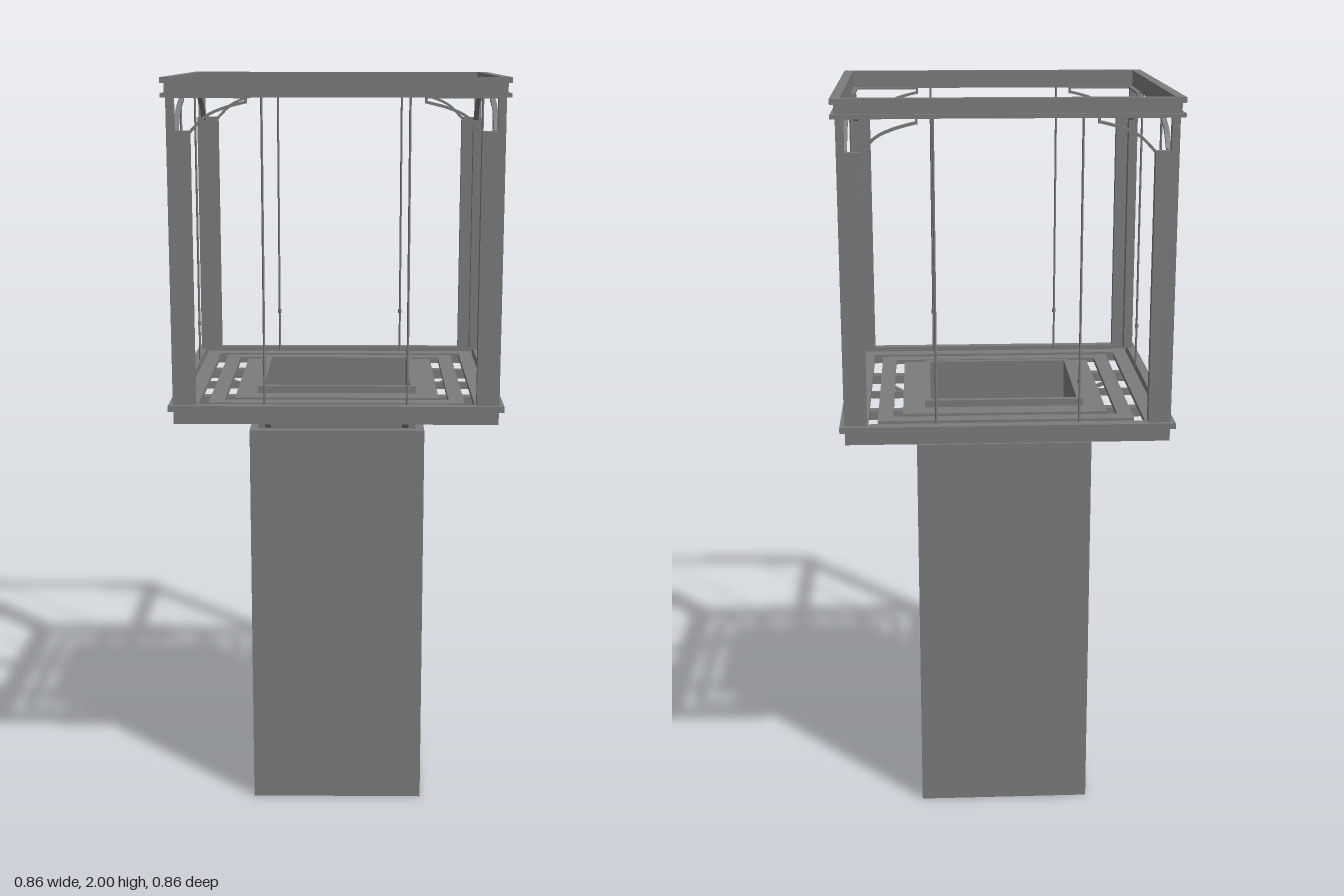
import * as THREE from 'three';

const metal = new THREE.MeshStandardMaterial({ color: 0x7c7c7c });
metal.name = 'grey metal';

function add(parent, name, geometry) {
  const mesh = new THREE.Mesh(geometry, metal);
  mesh.name = name;
  parent.add(mesh);
  return mesh;
}

// Box given by its minimum and maximum on each axis
function box(parent, name, x0, x1, y0, y1, z0, z1) {
  const mesh = add(parent, name, new THREE.BoxGeometry(x1 - x0, y1 - y0, z1 - z0));
  mesh.position.set((x0 + x1) / 2, (y0 + y1) / 2, (z0 + z1) / 2);
  return mesh;
}

function square(path, h) {
  path.moveTo(-h, -h);
  path.lineTo(h, -h);
  path.lineTo(h, h);
  path.lineTo(-h, h);
  path.closePath();
  return path;
}

// Square ring lying flat, from half-width inner to outer
function ring(parent, name, inner, outer, y0, y1) {
  const shape = square(new THREE.Shape(), outer);
  shape.holes.push(square(new THREE.Path(), inner));
  const geo = new THREE.ExtrudeGeometry(shape, { depth: y1 - y0, bevelEnabled: false });
  geo.rotateX(-Math.PI / 2);
  geo.translate(0, y0, 0);
  return add(parent, name, geo);
}

// Flat bar bent along a smooth curve in the xy plane
function bentBar(points, thick, depth) {
  const curve = new THREE.SplineCurve(points.map(([x, y]) => new THREE.Vector2(x, y)));
  const upper = [], lower = [];
  for (let i = 0; i <= 10; i++) {
    const p = curve.getPoint(i / 10), t = curve.getTangent(i / 10);
    const n = new THREE.Vector2(-t.y, t.x).multiplyScalar(thick / 2);
    upper.push(p.clone().add(n));
    lower.unshift(p.clone().sub(n));
  }
  return new THREE.ExtrudeGeometry(new THREE.Shape([...upper, ...lower]), { depth, bevelEnabled: false });
}

export function createModel() {
  const model = new THREE.Group();
  model.name = 'lookoutTower';

  // Hollow square shaft and its neck
  ring(model, 'shaft', 0.2, 0.235, 0, 1.07);
  ring(model, 'neck', 0.196, 0.212, 1.07, 1.187);

  // Open platform of nested rings
  ring(model, 'innerWalkway', 0.205, 0.27, 1.155, 1.168);
  ring(model, 'middleWalkway', 0.295, 0.335, 1.155, 1.168);
  ring(model, 'outerWalkway', 0.36, 0.4, 1.155, 1.168);

  // Lower rim and stepped upper rim
  ring(model, 'lowerRim', 0.405, 0.417, 1.13, 1.165);
  ring(model, 'lowerRimFlange', 0.405, 0.43, 1.165, 1.18);
  ring(model, 'upperRimBottom', 0.405, 0.43, 1.952, 1.962);
  ring(model, 'upperRimWeb', 0.405, 0.421, 1.962, 1.986);
  ring(model, 'upperRimTop', 0.405, 0.43, 1.986, 2.0);

  for (let k = 0; k < 4; k++) {
    const side = new THREE.Group();
    side.name = 'side' + (k + 1);
    side.rotation.y = k * Math.PI / 2;
    model.add(side);

    // Angle-section corner post with a slim neck at the top
    box(side, 'postLeg', 0.36, 0.418, 1.18, 1.87, 0.393, 0.418);
    box(side, 'postLegReturn', 0.393, 0.418, 1.18, 1.87, 0.36, 0.393);
    box(side, 'postNeck', 0.398, 0.418, 1.87, 1.955, 0.398, 0.418);

    // Central joist under the platform
    box(side, 'centreJoist', -0.004, 0.004, 1.135, 1.155, 0.21, 0.41);

    for (const s of [-1, 1]) {
      // Curved corner brace below the upper rim
      const brace = add(side, 'cornerBrace', bentBar(
        [[s * 0.362, 1.866], [s * 0.322, 1.905], [s * 0.275, 1.926], [s * 0.222, 1.94]], 0.007, 0.013));
      brace.position.z = 0.393;
      box(side, 'braceEnd', s * 0.222 - 0.003, s * 0.222 + 0.003, 1.936, 1.955, 0.393, 0.406);
      box(side, 'braceTopBar', s > 0 ? 0.22 : -0.405, s > 0 ? 0.405 : -0.22, 1.949, 1.955, 0.393, 0.406);

      // Thin vertical rod with a small collar
      const rod = add(side, 'rod', new THREE.CylinderGeometry(0.003, 0.003, 0.79, 8));
      rod.position.set(s * 0.183, 1.56, 0.406);
      const collar = add(side, 'rodCollar', new THREE.CylinderGeometry(0.005, 0.005, 0.012, 8));
      collar.position.set(s * 0.183, 1.29, 0.406);

      // Paired joists carrying the walkways
      for (const x of [0.173, 0.19])
        box(side, 'joist', s * x - 0.0055, s * x + 0.0055, 1.13, 1.155, 0.21, x > 0.18 ? 0.41 : 0.4);

      // Bent strut from the neck out to the joists
      const strut = add(side, 'strut', bentBar(
        [[-0.335, 1.129], [-0.29, 1.11], [-0.25, 1.086], [-0.208, 1.083]], 0.008, 0.016));
      strut.rotation.y = Math.PI / 2;
      strut.position.x = s * 0.183 - 0.008;
      box(side, 'strutFoot', s * 0.183 - 0.008, s * 0.183 + 0.008, 1.08, 1.13, 0.21, 0.218);
    }
  }
  return model;
}
